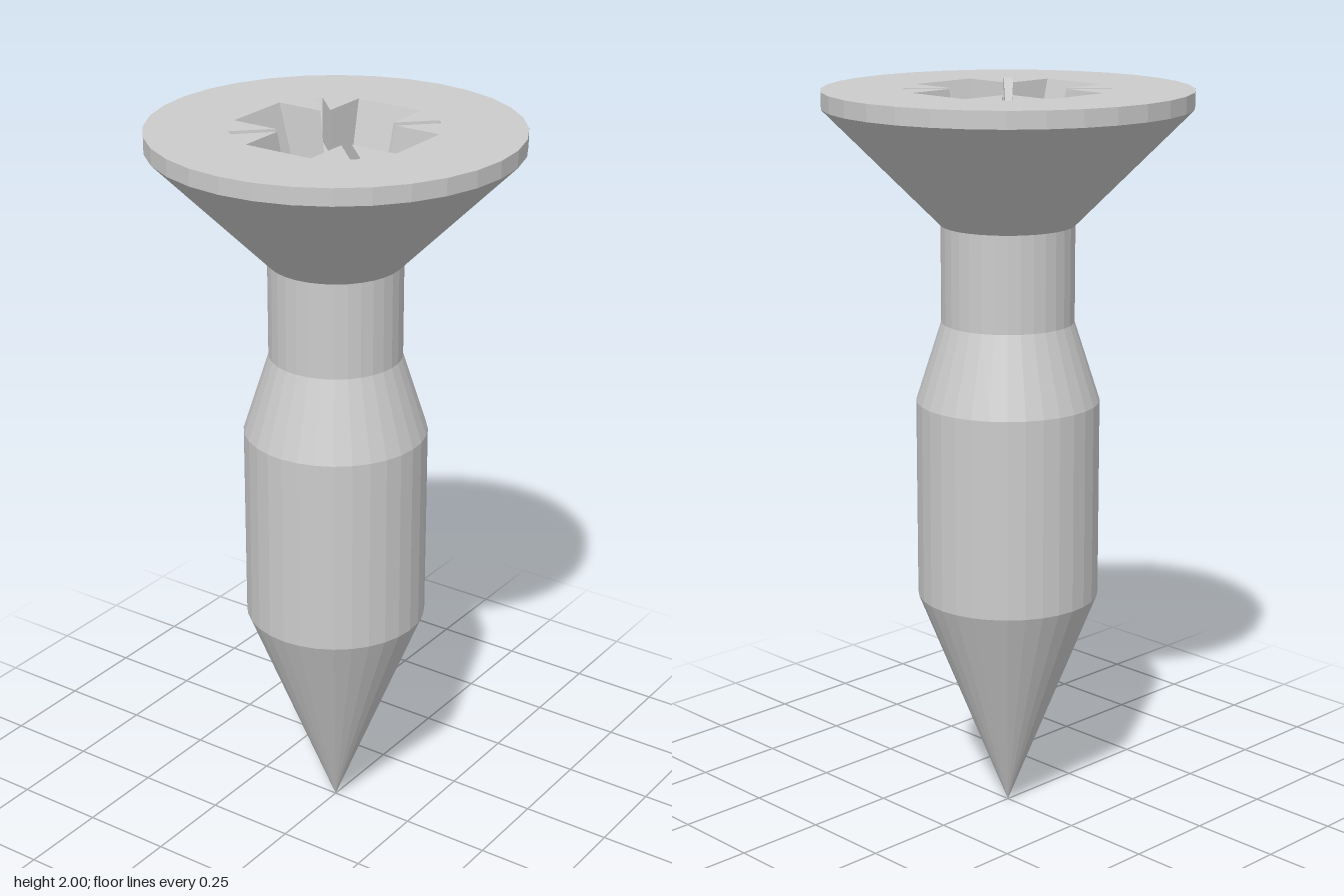
import * as THREE from 'three';

const SIDES = 32, HEAD_R = 0.487, TOP = 2;
const DEPTH = 0.3, BORE = 0.127, SLOT_T = 0.36;

// Outline of the driver recess at depth fraction t: cross + round bore + diagonal slots.
function recessLoop(t, slotted) {
  const w = 0.098 - 0.025 * t, e = 0.247 - 0.1 * t, c = Math.SQRT1_2;
  const k = Math.min(t / SLOT_T, 1);
  const h = 0.013 - 0.006 * k, out = 0.27 - 0.035 * k;
  const onBore = Math.sqrt(BORE * BORE - h * h), onWall = w / c + h;
  const p = Math.max(onBore, onWall), o = slotted ? out : p;
  const inner = [(p + h) * c, (p - h) * c], outer = [(o + h) * c, (o - h) * c];
  const corner = onWall > onBore ? inner : [Math.sqrt(BORE * BORE - w * w), w];
  const flip = ([x, z]) => [z, x];
  const quarter = [[e, -w], [e, 0], [e, w], corner, inner, outer, flip(outer), flip(inner), flip(corner)];
  const loop = [];
  for (let q = 0; q < 4; q++) {
    for (const [x, z] of quarter) loop.push([[x, z], [-z, x], [-x, -z], [z, -x]][q]);
  }
  return loop;
}

// Bore rim matching the loop point for point.
function boreLoop() {
  const a = Math.asin(0.073 / BORE);
  return recessLoop(1, false).map(([x, z], i) => {
    const n = i % 9;
    const ang = n < 3 ? Math.floor(i / 9) * Math.PI / 2 + (n - 1) * a * 0.4 : Math.atan2(z, x);
    return [BORE * Math.cos(ang), BORE * Math.sin(ang)];
  });
}

// Skin between successive loops, facing up and inward.
function skin(levels) {
  const pos = [];
  for (let l = 0; l < levels.length - 1; l++) {
    const A = levels[l], B = levels[l + 1], n = A.loop.length;
    for (let i = 0; i < n; i++) {
      const j = (i + 1) % n;
      const at = (L, m) => [L.loop[m][0], L.y, L.loop[m][1]];
      pos.push(...at(A, i), ...at(B, i), ...at(A, j), ...at(A, j), ...at(B, i), ...at(B, j));
    }
  }
  const g = new THREE.BufferGeometry();
  g.setAttribute('position', new THREE.Float32BufferAttribute(pos, 3));
  g.computeVertexNormals();
  return g;
}

export function createModel() {
  const group = new THREE.Group();
  const mat = new THREE.MeshStandardMaterial({ color: 0xcccccc, flatShading: true });
  const add = (name, geo) => {
    const m = new THREE.Mesh(geo, mat);
    m.name = name;
    group.add(m);
    return m;
  };
  const turned = (name, pts) =>
    add(name, new THREE.LatheGeometry(pts.map(([r, y]) => new THREE.Vector2(r, y)), SIDES));

  // Turned body
  turned('tip', [[0, 0], [0.247, 0.625]]);
  turned('shank', [[0.247, 0.625], [0.247, 1.17]]);
  turned('shoulder', [[0.247, 1.17], [0.178, 1.385]]);
  turned('neck', [[0.178, 1.385], [0.178, 1.645]]);
  turned('countersunkHead', [[0.178, 1.645], [HEAD_R, 1.955], [HEAD_R, TOP]]);

  // Head face with the recess opening
  const face = new THREE.Shape();
  for (let i = 0; i < SIDES; i++) {
    const a = i / SIDES * Math.PI * 2;
    face[i ? 'lineTo' : 'moveTo'](HEAD_R * Math.cos(a), HEAD_R * Math.sin(a));
  }
  const rim = recessLoop(0, true).map(([x, z]) => new THREE.Vector2(x, z));
  const clean = rim.filter((p, i) => p.distanceTo(rim[(i + 1) % rim.length]) > 1e-5);
  face.holes.push(new THREE.Path(clean.reverse()));
  add('headFace', new THREE.ShapeGeometry(face).rotateX(-Math.PI / 2)).position.y = TOP;

  // Recess walls, slot floors, cross floor and drilled cone
  const level = (t, slotted) => ({ y: TOP - DEPTH * t, loop: recessLoop(t, slotted) });
  const bore = boreLoop();
  add('driverRecess', skin([
    level(0, true), level(SLOT_T / 2, true), level(SLOT_T, true),
    level(SLOT_T, false), level(0.55, false), level(0.78, false), level(1, false),
    { y: TOP - DEPTH, loop: bore },
    { y: TOP - DEPTH - 0.08, loop: bore.map(() => [0, 0]) },
  ]));
  return group;
}
